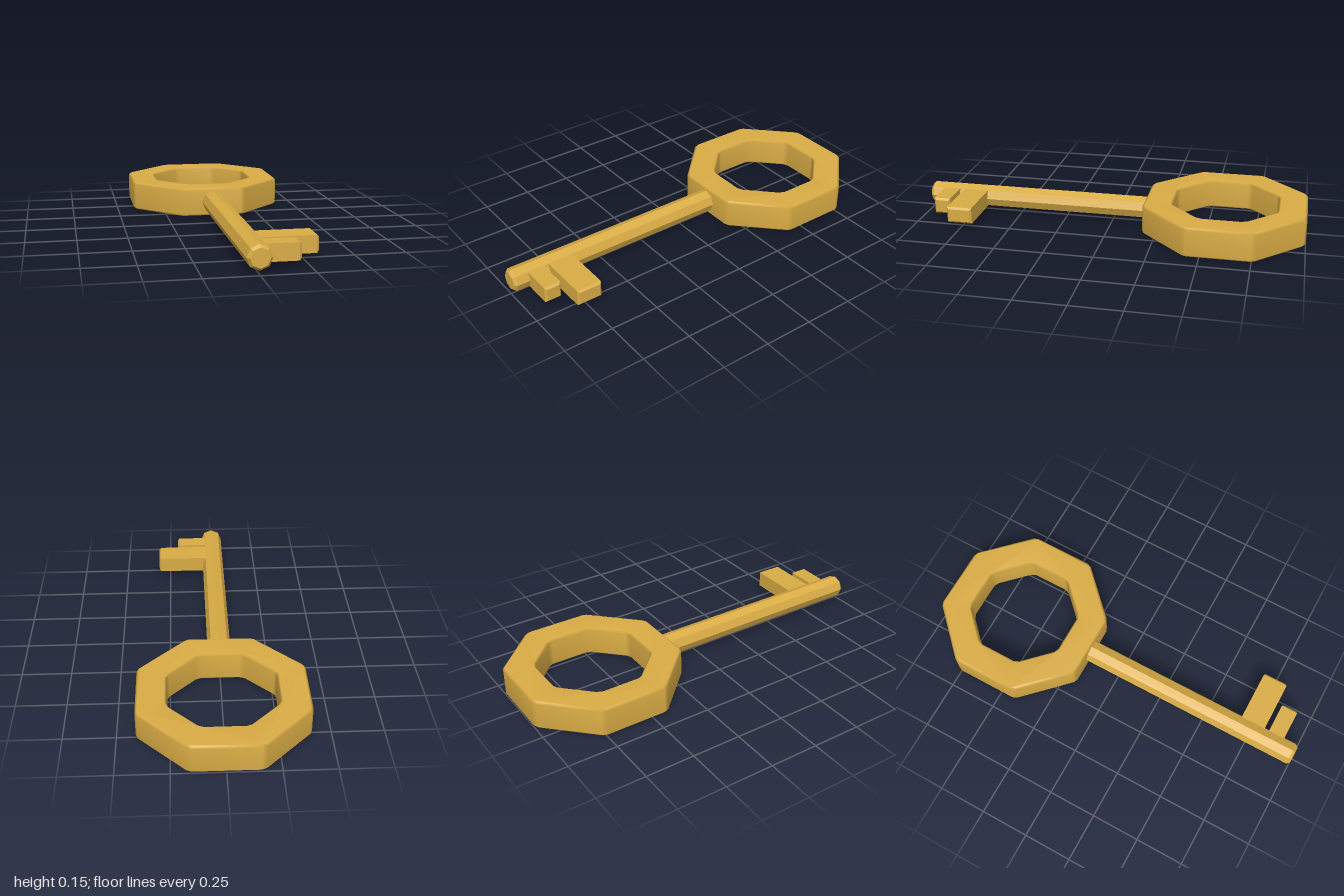
import * as THREE from 'three';
import { mergeVertices } from 'three/addons/utils/BufferGeometryUtils.js';

const MID_Y = 0.077; // height of the shaft axis

// Octagon with flat sides on the axes and slightly clipped corners
function octagon(apothem, clip, Target) {
  const path = new Target();
  const half = apothem * Math.tan(Math.PI / 8) - clip;
  for (let i = 0; i < 8; i++) {
    const a = (i * Math.PI) / 4;
    for (const t of [-half, half]) {
      const x = apothem * Math.cos(a) - t * Math.sin(a);
      const y = apothem * Math.sin(a) + t * Math.cos(a);
      if (i === 0 && t < 0) path.moveTo(x, y);
      else path.lineTo(x, y);
    }
  }
  path.closePath();
  return path;
}

// Welds vertices so narrow bevels shade softly into the large faces
function soften(geometry) {
  geometry.deleteAttribute('normal');
  geometry.deleteAttribute('uv');
  const welded = mergeVertices(geometry, 1e-4);
  welded.computeVertexNormals();
  return welded;
}

export function createModel() {
  const key = new THREE.Group();
  key.name = 'key';
  const gold = new THREE.MeshStandardMaterial({ color: 0xd9ac45 });
  gold.name = 'gold';

  const add = (name, geometry) => {
    const mesh = new THREE.Mesh(geometry, gold);
    mesh.name = name;
    key.add(mesh);
    return mesh;
  };

  // Octagonal ring handle, lying flat
  const b = 0.01;
  const ring = octagon(0.41 - b, 0.012, THREE.Shape);
  ring.holes.push(octagon(0.265 + b, 0.018, THREE.Path));
  const ringGeo = new THREE.ExtrudeGeometry(ring, {
    depth: 0.15 - 2 * b, bevelEnabled: true, bevelSize: b, bevelThickness: b, bevelSegments: 1,
  });
  ringGeo.rotateX(-Math.PI / 2).translate(0, b, -0.59);
  add('ringHandle', soften(ringGeo));

  // Eight-sided shaft with a chamfered tip
  const profile = [[0, -0.22], [0.059, -0.22], [0.059, 0.985], [0.046, 1], [0, 1]]
    .map(([r, h]) => new THREE.Vector2(r, h));
  const shaftGeo = new THREE.LatheGeometry(profile, 8).toNonIndexed();
  shaftGeo.computeVertexNormals();
  shaftGeo.rotateX(Math.PI / 2).translate(0, MID_Y, 0);
  add('shaft', shaftGeo);

  // Teeth: bars running out to +x with chamfered tips
  for (const [name, z0, z1, tip] of [['largeTooth', 0.68, 0.81, 0.313], ['smallTooth', 0.835, 0.92, 0.204]]) {
    const w = (z1 - z0) / 2 - b;
    const h = 0.042 - b;
    const section = new THREE.Shape([[-w, -h], [w, -h], [w, h], [-w, h]].map(([x, y]) => new THREE.Vector2(x, y)));
    const tooth = new THREE.ExtrudeGeometry(section, {
      depth: tip - 2 * b, bevelEnabled: true, bevelSize: b, bevelThickness: b, bevelSegments: 1,
    });
    tooth.rotateY(Math.PI / 2).translate(b, MID_Y, (z0 + z1) / 2);
    add(name, tooth);
  }

  return key;
}
